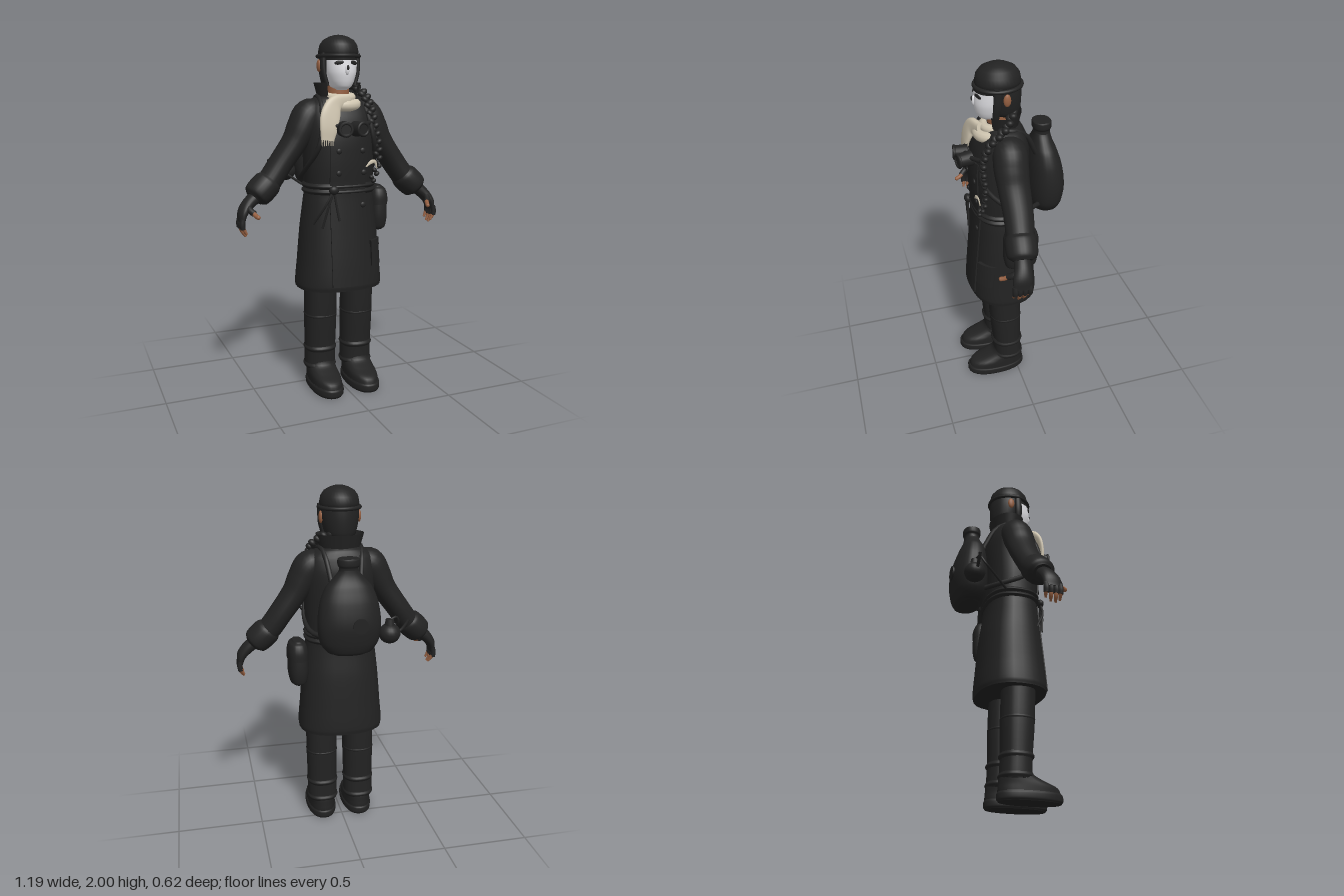
import * as THREE from 'three';

const mat = (name, color, side = THREE.FrontSide) => {
  const m = new THREE.MeshStandardMaterial({ color, side });
  m.name = name;
  return m;
};

export function createModel() {
  const black = mat('black cloth', 0x222222, THREE.DoubleSide);
  const white = mat('mask white', 0xe2e2e6);
  const cream = mat('scarf cream', 0xcfc5b0);
  const skin = mat('skin', 0x945f41);
  const model = new THREE.Group();
  const V = (x, y, z) => new THREE.Vector3(x, y, z);

  const add = (name, geo, material = black, x = 0, y = 0, z = 0) => {
    const m = new THREE.Mesh(geo, material);
    m.name = name;
    m.position.set(x, y, z);
    model.add(m);
    return m;
  };

  // Skin over smooth cross-sections [x, y, z, radiusA, radiusB]; flat keeps the rings level
  function loft(rings, { flat = false, power = 2, seg = 28, steps = 5 } = {}) {
    const path = new THREE.CatmullRomCurve3(rings.map(r => V(r[0], r[1], r[2])));
    const n = (rings.length - 1) * steps;
    const pos = [], idx = [], e = 2 / power;
    const bend = v => Math.sign(v) * Math.abs(v) ** e;
    const ring = k => {
      const t = k / n, c = path.getPoint(t);
      const i = Math.min(Math.floor(k / steps), rings.length - 2), f = k / steps - i;
      const mix = q => {
        const at = j => rings[Math.max(0, Math.min(rings.length - 1, j))][q];
        const [p0, p1, p2, p3] = [at(i - 1), at(i), at(i + 1), at(i + 2)];
        const m1 = (p2 - p0) / 2, m2 = (p3 - p1) / 2;
        return p1 + f * (m1 + f * (3 * (p2 - p1) - 2 * m1 - m2 + f * (2 * (p1 - p2) + m1 + m2)));
      };
      const a = mix(3), b = mix(4);
      const T = flat ? V(0, Math.sign(rings[rings.length - 1][1] - rings[0][1]), 0) : path.getTangent(t);
      const B = V(0, 0, 1).addScaledVector(T, -T.z).normalize();
      const A = B.clone().cross(T);
      for (let j = 0; j < seg; j++) {
        const th = j / seg * Math.PI * 2;
        const p = c.clone().addScaledVector(A, a * bend(Math.cos(th))).addScaledVector(B, b * bend(Math.sin(th)));
        pos.push(p.x, p.y, p.z);
      }
      return c;
    };
    for (let k = 0; k <= n; k++) ring(k);
    for (let k = 0; k < n; k++) for (let j = 0; j < seg; j++) {
      const a = k * seg + j, b = k * seg + (j + 1) % seg;
      idx.push(a, b, a + seg, b, b + seg, a + seg);
    }
    for (const k of [0, n]) {
      const s = pos.length / 3, c = ring(k);
      pos.push(c.x, c.y, c.z);
      for (let j = 0; j < seg; j++) {
        const a = s + j, b = s + (j + 1) % seg;
        k ? idx.push(s + seg, a, b) : idx.push(s + seg, b, a);
      }
    }
    const g = new THREE.BufferGeometry();
    g.setAttribute('position', new THREE.Float32BufferAttribute(pos, 3));
    g.setIndex(idx);
    g.computeVertexNormals();
    return g;
  }
  // Level rings given as [y, z, rx, rz] at one x
  const column = (x, rows, power = 2.3) => loft(rows.map(([y, z, a, b]) => [x, y, z, a, b]), { flat: true, power });
  const cord = (pts, r, seg = 8) => new THREE.TubeGeometry(new THREE.CatmullRomCurve3(pts.map(p => V(...p))), 24, r, seg);
  const ball = (rx, ry, rz) => new THREE.SphereGeometry(1, 20, 14).scale(rx, ry, rz);

  // Coat body
  const coat = [[0.6, 0.06, 0.245, 0.19], [0.63, 0.06, 0.248, 0.194], [0.75, 0.06, 0.237, 0.185], [0.95, 0.06, 0.22, 0.167],
    [1.1, 0.065, 0.203, 0.15], [1.17, 0.065, 0.195, 0.146], [1.3, 0.068, 0.2, 0.152], [1.45, 0.065, 0.2, 0.155],
    [1.55, 0.057, 0.2, 0.143], [1.62, 0.05, 0.185, 0.118], [1.66, 0.045, 0.14, 0.095], [1.68, 0.045, 0.09, 0.075]];
  add('coat', column(0, coat, 2.4));
  const coatZ = (x, y) => {
    const i = Math.max(0, Math.min(coat.length - 2, coat.findIndex(r => r[0] > y) - 1));
    const f = (y - coat[i][0]) / (coat[i + 1][0] - coat[i][0]);
    const [, z, rx, rz] = coat[i].map((v, q) => v + f * (coat[i + 1][q] - v));
    return z + rz * Math.max(0, 1 - Math.abs(x / rx) ** 2.4) ** (1 / 2.4);
  };
  // Plates that follow the front of the coat
  const plate = (name, x, y, w, h, d) => {
    const g = new THREE.BoxGeometry(w, h, d, 12, 16, 1), p = g.attributes.position;
    for (let i = 0; i < p.count; i++) {
      const px = p.getX(i) + x, py = p.getY(i) + y;
      p.setXYZ(i, px, py, p.getZ(i) + coatZ(px, py));
    }
    g.computeVertexNormals();
    add(name, g);
  };
  plate('coatFlap', 0, 1.06, 0.21, 0.86, 0.016);
  plate('thighPocket', 0.172, 0.8, 0.072, 0.14, 0.03);
  plate('thighPocketFlap', 0.172, 0.855, 0.08, 0.04, 0.04);
  for (const [x, y] of [[-0.06, 1.38], [-0.06, 1.26], [0.08, 1.38], [0.09, 1.26], [0.085, 1.08], [-0.06, 1.5]])
    add('button', ball(0.016, 0.016, 0.008), black, x, y, coatZ(x, y) + 0.01);

  // Belt with knot and hanging ends
  for (const y of [1.155, 1.185]) add('belt', column(0, [[y - 0.015, 0.065, 0.198, 0.15], [y, 0.065, 0.209, 0.16], [y + 0.015, 0.065, 0.198, 0.15]], 2.4));
  add('beltKnot', ball(0.028, 0.025, 0.02), black, -0.09, 1.17, 0.225);
  for (const [x, y] of [[-0.19, 0.98], [-0.06, 1.0], [-0.15, 0.96]])
    add('beltEnd', cord([[-0.09, 1.17, 0.225], [(x - 0.09) / 2, 1.08, coatZ(x / 2, 1.08) + 0.012], [x, y, coatZ(x, y) + 0.012]], 0.007));

  // Collar
  const collar = add('collar', new THREE.CylinderGeometry(0.135, 0.105, 0.11, 36, 3, true, 0.75, Math.PI * 2 - 1.5), black, 0, 1.69, 0.05);
  collar.scale.z = 0.78;

  for (const s of [1, -1]) {
    // Boots and trousers
    const x = s * 0.112;
    add('bootSole', column(x, [[0, 0.13, 0.082, 0.17], [0.012, 0.13, 0.089, 0.178], [0.04, 0.13, 0.089, 0.178], [0.05, 0.13, 0.084, 0.172]]));
    add('bootUpper', column(x, [[0.045, 0.128, 0.083, 0.17], [0.08, 0.12, 0.083, 0.16], [0.11, 0.085, 0.081, 0.122], [0.14, 0.058, 0.08, 0.09], [0.2, 0.055, 0.08, 0.08]]));
    add('trouserLeg', column(x, [[0.11, 0.053, 0.084, 0.08], [0.13, 0.053, 0.088, 0.085], [0.24, 0.058, 0.088, 0.084], [0.43, 0.066, 0.091, 0.092], [0.65, 0.074, 0.09, 0.092]]));
    for (const [y, z] of [[0.13, 0.054], [0.235, 0.058], [0.435, 0.066]])
      add('legBand', column(x, [[y - 0.016, z, 0.087, 0.086], [y, z, 0.0935, 0.094], [y + 0.016, z, 0.087, 0.086]]));

    // Sleeve and cuff
    const limb = (name, rows, m = black, seg = 24) => add(name, loft(rows.map(([px, ...r]) => [s * px, ...r]), { seg }), m);
    limb('sleeve', [[0.1, 1.59, 0.045, 0.06, 0.07], [0.165, 1.575, 0.05, 0.085, 0.09], [0.21, 1.505, 0.055, 0.083, 0.092],
      [0.255, 1.425, 0.055, 0.071, 0.086], [0.337, 1.31, 0.055, 0.066, 0.08], [0.41, 1.21, 0.065, 0.066, 0.075], [0.47, 1.15, 0.075, 0.06, 0.07]]);
    limb('cuff', [[0.395, 1.23, 0.065, 0.062, 0.07], [0.415, 1.208, 0.067, 0.077, 0.083], [0.455, 1.17, 0.072, 0.079, 0.085],
      [0.485, 1.143, 0.076, 0.072, 0.078], [0.498, 1.13, 0.078, 0.05, 0.055]]);

    // Gloved hand with bare fingertips
    limb('glove', [[0.48, 1.145, 0.08, 0.036, 0.042], [0.53, 1.105, 0.088, 0.034, 0.046], [0.565, 1.06, 0.098, 0.027, 0.052],
      [0.577, 1.01, 0.103, 0.017, 0.05]]);
    [0.063, 0.09, 0.117, 0.142].forEach((z, i) => {
      const drop = [0.02, 0.003, 0, 0.015][i];
      limb('gloveFinger', [[0.575, 1.03, z, 0.014, 0.014], [0.58, 1.0, z, 0.015, 0.015], [0.577, 0.975, z, 0.014, 0.014]], black, 10);
      limb('fingertip', [[0.579, 0.99, z, 0.011, 0.011], [0.573, 0.96 + drop, z, 0.011, 0.011], [0.557, 0.932 + drop, z + 0.003, 0.006, 0.006]], skin, 10);
    });
    add('gloveThumb', cord([[s * 0.54, 1.1, 0.11], [s * 0.535, 1.075, 0.145], [s * 0.52, 1.06, 0.165]], 0.017, 10));
    add('thumbTip', cord([[s * 0.522, 1.062, 0.16], [s * 0.515, 1.05, 0.18], [s * 0.508, 1.045, 0.198]], 0.012, 10), skin);
    add('thumbEnd', ball(0.012, 0.012, 0.012), skin, s * 0.508, 1.045, 0.198);

    // Ear, chin strap and eye slit
    add('ear', ball(0.012, 0.034, 0.02), skin, s * 0.106, 1.835, 0.045);
    limb('chinStrap', [[0.1, 1.9, 0.09, 0.016, 0.022], [0.099, 1.8, 0.095, 0.014, 0.022], [0.08, 1.725, 0.1, 0.012, 0.018]]);
    const eye = add('eyeSlit', ball(0.026, 0.011, 0.004), black, s * 0.043, 1.848, 0.181);
    eye.rotation.y = s * 0.45;
    eye.rotation.z = s * -0.15;

    // Backpack strap and chest goggle
    add('packStrap', cord([[s * 0.08, 1.5, -0.12], [s * 0.1, 1.63, -0.05], [s * 0.115, 1.672, 0.04], [s * 0.13, 1.6, 0.155], [s * 0.16, 1.42, 0.2],
      [s * 0.2, 1.28, 0.09], [s * 0.19, 1.22, -0.03], [s * 0.12, 1.2, -0.13]], 0.014));
    const tilt = { x: Math.PI / 2, z: s * -0.2 };
    const lens = add('goggleLens', new THREE.CylinderGeometry(0.036, 0.042, 0.075, 20), black, s * 0.042, 1.5, 0.262);
    lens.rotation.set(tilt.x, 0, tilt.z);
    add('goggleRim', new THREE.TorusGeometry(0.033, 0.009, 8, 20), black, s * 0.05, 1.5, 0.296).rotation.y = s * 0.2;
  }
  add('goggleBridge', cord([[-0.12, 1.52, 0.2], [-0.04, 1.515, 0.24], [0.04, 1.515, 0.24], [0.14, 1.53, 0.19]], 0.012));

  // Head, mask and helmet
  add('neck', new THREE.CylinderGeometry(0.06, 0.065, 0.14, 24), skin, 0, 1.69, 0.06);
  add('hair', column(0, [[1.72, 0.035, 0.06, 0.065], [1.745, 0.04, 0.085, 0.09], [1.83, 0.05, 0.104, 0.106], [1.92, 0.06, 0.104, 0.11]], 2));
  add('mask', column(0, [[1.705, 0.105, 0.03, 0.045], [1.72, 0.1, 0.054, 0.072], [1.75, 0.1, 0.07, 0.085], [1.8, 0.1, 0.084, 0.094], [1.88, 0.095, 0.09, 0.092]], 2), white);
  add('maskNose', ball(0.012, 0.028, 0.014), white, 0, 1.81, 0.19);
  add('maskHole', ball(0.007, 0.014, 0.004), black, 0, 1.822, 0.203);
  add('brow', column(0, [[1.862, 0.095, 0.091, 0.094], [1.89, 0.095, 0.093, 0.096]], 2));
  const dome = [[0, 1.88], [0.106, 1.88], [0.109, 1.91], [0.102, 1.945], [0.083, 1.972], [0.05, 1.99], [0.022, 1.998], [0, 2]];
  add('helmet', new THREE.LatheGeometry(dome.map(p => new THREE.Vector2(...p)), 36), black, 0, 0, 0.065).scale.z = 1.1;
  const brim = add('helmetBrim', new THREE.TorusGeometry(0.112, 0.011, 10, 40), black, 0, 1.885, 0.065);
  brim.rotation.x = Math.PI / 2;
  brim.scale.y = 1.08;

  // Scarf with hanging end and fringe
  for (const [y, r, t, z] of [[1.665, 0.068, 0.026, 0.075], [1.63, 0.088, 0.032, 0.085]]) {
    const wrap = add('scarfWrap', new THREE.TorusGeometry(r, t, 12, 36), cream, 0, y, z);
    wrap.rotation.x = Math.PI / 2 + 0.12;
  }
  add('scarfEnd', loft([[0.02, 1.655, 0.165, 0.03, 0.02], [-0.07, 1.63, 0.19, 0.045, 0.022], [-0.105, 1.57, 0.212, 0.056, 0.016],
    [-0.118, 1.5, 0.222, 0.05, 0.014], [-0.126, 1.44, 0.222, 0.038, 0.012]], { power: 2.6 }), cream);
  for (let i = 0; i < 6; i++) {
    const x = -0.157 + i * 0.0125;
    add('scarfFringe', new THREE.CylinderGeometry(0.004, 0.002, 0.035, 6), cream, x, 1.428, 0.222);
  }

  // Braid over the left shoulder, with a feather charm
  const braid = new THREE.CatmullRomCurve3([V(0.07, 1.75, 0), V(0.14, 1.69, 0.07), V(0.15, 1.62, 0.15), V(0.16, 1.52, 0.19),
    V(0.185, 1.4, 0.19), V(0.18, 1.28, 0.195), V(0.14, 1.21, 0.215)]);
  for (let i = 0; i < 30; i++) {
    const p = braid.getPointAt(i / 29), side = (i % 2 ? 1 : -1) * 0.011, r = 0.027 - i * 0.0004;
    const knot = add('braidKnot', ball(r, r * 0.75, r * 0.85), black, p.x + side, p.y, p.z);
    knot.rotation.z = i % 2 ? 0.6 : -0.6;
  }
  add('featherCharm', loft([[0.1, 1.29, 0.225, 0.004, 0.004], [0.13, 1.315, 0.226, 0.011, 0.004], [0.155, 1.315, 0.22, 0.009, 0.004],
    [0.17, 1.28, 0.215, 0.003, 0.003]], { seg: 12 }), cream);

  // Backpack flask with cap and badge
  add('backpack', column(0, [[1.13, -0.19, 0.09, 0.055], [1.145, -0.19, 0.125, 0.077], [1.2, -0.19, 0.162, 0.095], [1.3, -0.192, 0.174, 0.103],
    [1.42, -0.185, 0.158, 0.09], [1.5, -0.178, 0.125, 0.07], [1.55, -0.175, 0.08, 0.052], [1.59, -0.175, 0.05, 0.044]]));
  add('backpackCap', column(0, [[1.56, -0.175, 0.056, 0.045], [1.6, -0.175, 0.052, 0.044], [1.615, -0.175, 0.06, 0.051], [1.645, -0.175, 0.06, 0.051], [1.65, -0.175, 0.054, 0.046]], 2.2));
  add('backpackBadge', new THREE.CylinderGeometry(0.042, 0.042, 0.009, 20), black, -0.04, 1.31, -0.302).rotation.x = Math.PI / 2;

  // Round gourd at the right hip, with its hook
  add('gourd', ball(0.06, 0.056, 0.06), black, -0.22, 1.235, -0.215);
  add('gourdNeck', new THREE.CylinderGeometry(0.022, 0.03, 0.04, 16), black, -0.22, 1.295, -0.215);
  add('gourdHook', cord([[-0.25, 1.23, -0.215], [-0.285, 1.25, -0.215], [-0.31, 1.28, -0.215], [-0.325, 1.305, -0.215]], 0.009));
  add('gourdCord', cord([[-0.22, 1.31, -0.215], [-0.26, 1.32, -0.2], [-0.28, 1.27, -0.17], [-0.19, 1.18, -0.02]], 0.007));

  // Hip pouch on the left side
  add('hipPouch', column(0.254, [[0.9, 0.015, 0.03, 0.065], [0.915, 0.015, 0.047, 0.085], [0.98, 0.015, 0.057, 0.097], [1.08, 0.015, 0.054, 0.092],
    [1.135, 0.015, 0.045, 0.08], [1.155, 0.015, 0.028, 0.06]], 2.6));
  add('hipPouchFlap', column(0.256, [[1.05, 0.015, 0.058, 0.097], [1.1, 0.015, 0.057, 0.095], [1.14, 0.015, 0.046, 0.08], [1.158, 0.015, 0.025, 0.055]], 2.6));
  return model;
}
